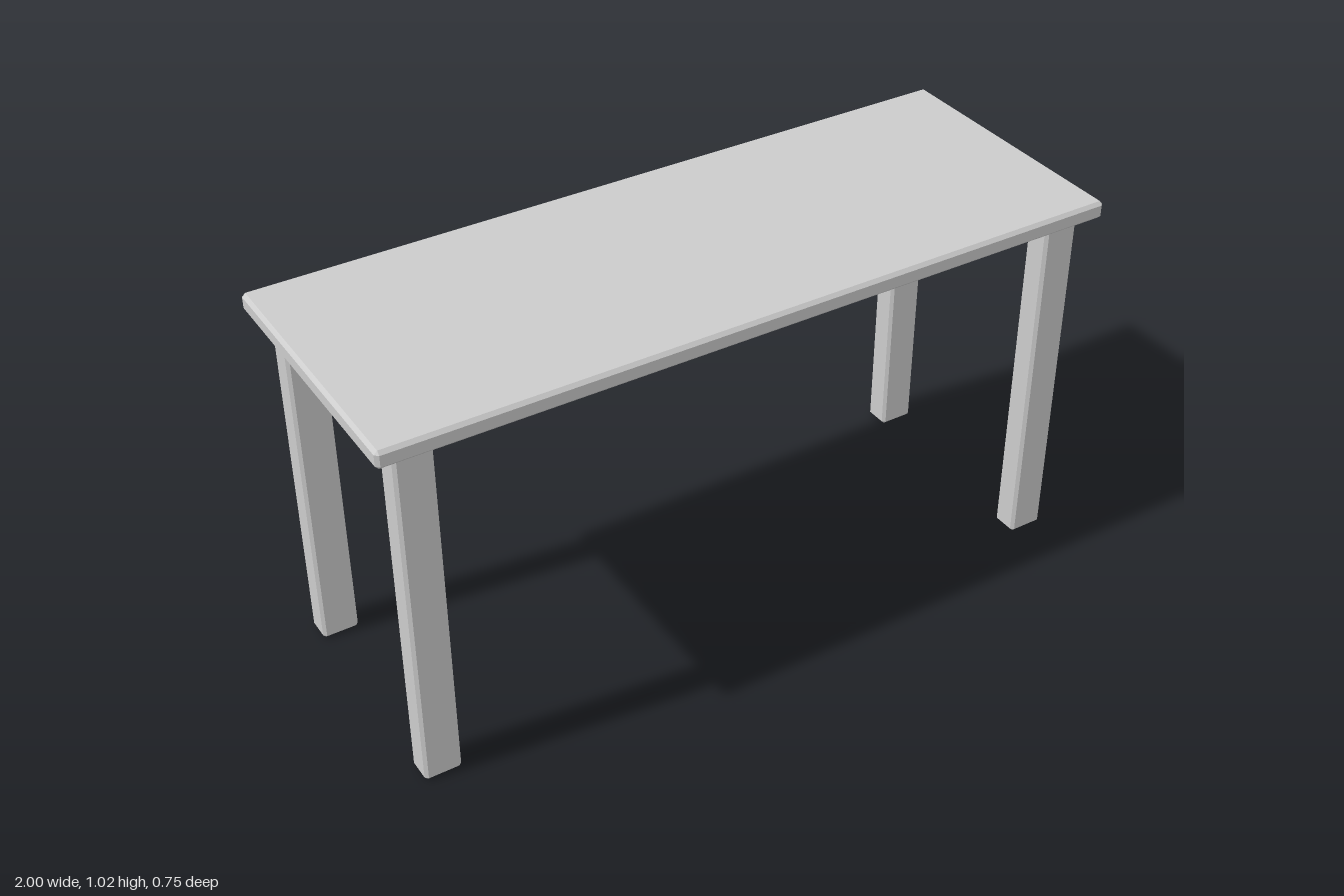
import * as THREE from 'three';
import { ConvexGeometry } from 'three/addons/geometries/ConvexGeometry.js';

const material = new THREE.MeshStandardMaterial({ color: 0xcccccc, flatShading: true });

// Box with every edge chamfered: each corner becomes three points
function chamferedBox(width, height, depth, bevel) {
  const half = [width / 2, height / 2, depth / 2];
  const points = [];
  for (const sx of [-1, 1]) for (const sy of [-1, 1]) for (const sz of [-1, 1]) {
    for (let outer = 0; outer < 3; outer++) {
      const [x, y, z] = half.map((h, axis) => (axis === outer ? h : h - bevel));
      points.push(new THREE.Vector3(sx * x, sy * y, sz * z));
    }
  }
  return new ConvexGeometry(points);
}

function addPart(group, name, geometry, x, y, z) {
  const mesh = new THREE.Mesh(geometry, material);
  mesh.name = name;
  mesh.position.set(x, y, z);
  group.add(mesh);
}

export function createModel() {
  const table = new THREE.Group();
  table.name = 'table';

  // Table top
  const top = 1.025, thickness = 0.048;
  addPart(table, 'tableTop', chamferedBox(2, thickness, 0.745, 0.009), 0, top - thickness / 2, 0);

  // Four legs, their upper ends let into the top
  const legHeight = 0.985;
  const legGeometry = chamferedBox(0.098, legHeight, 0.074, 0.008);
  for (const [side, sx] of [['Left', 1], ['Right', -1]]) {
    for (const [end, sz] of [['front', 1], ['back', -1]]) {
      addPart(table, `${end}${side}Leg`, legGeometry, sx * 0.9, legHeight / 2, sz * 0.3);
    }
  }
  return table;
}
